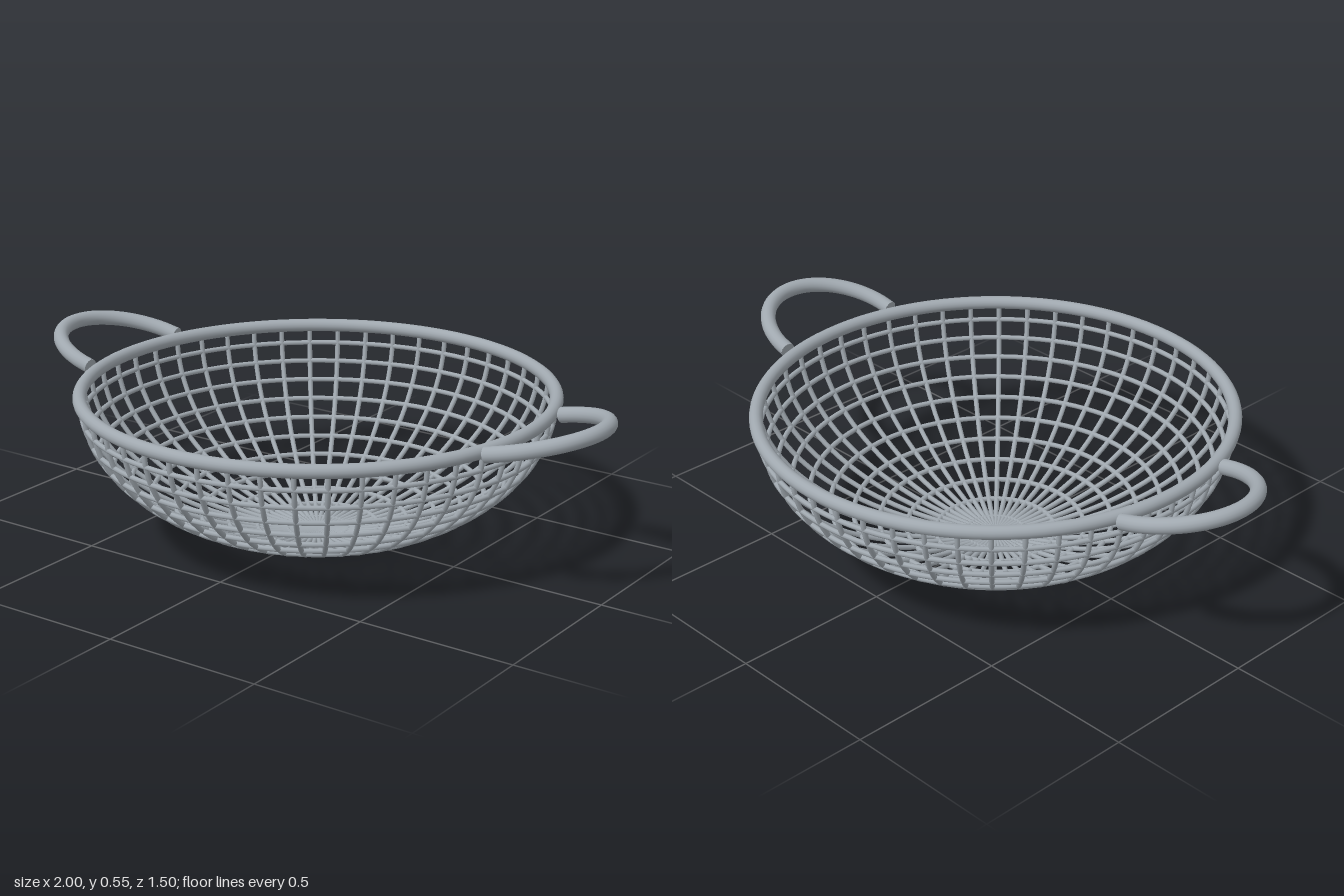
import * as THREE from 'three';

const RADIUS = 0.727; // rim centreline
const RIM_Y = 0.463;
const DEPTH = 0.455;
const WIRE = 0.008;
const STEP = Math.PI / 24; // 7.5 degrees between ribs and between hoops

export function createModel() {
  const steel = new THREE.MeshStandardMaterial({ color: 0xa0a8af });
  steel.name = 'brushed steel';
  const model = new THREE.Group();
  model.name = 'wireBasket';

  const add = (name, geometry, parent = model) => {
    const mesh = new THREE.Mesh(geometry, steel);
    mesh.name = name;
    parent.add(mesh);
    return mesh;
  };

  // Level ring of round wire
  const ring = (name, radius, tube, y, sides) => {
    const geometry = new THREE.TorusGeometry(radius, tube, sides, 96);
    geometry.rotateX(Math.PI / 2);
    add(name, geometry).position.y = y;
  };

  // Thick rim
  ring('rim', RADIUS, 0.021, RIM_Y, 16);

  // Horizontal hoops, evenly spaced by angle down the elliptical bowl
  for (let i = 1; i < 12; i++) {
    const a = i * STEP;
    ring('hoop', RADIUS * Math.cos(a), WIRE, RIM_Y - DEPTH * Math.sin(a), 8);
  }

  // Ribs from the rim to the bottom centre
  const ribPoints = [];
  for (let i = 0; i <= 16; i++) {
    const a = (i / 16) * Math.PI / 2;
    ribPoints.push(new THREE.Vector3(RADIUS * Math.cos(a), RIM_Y - DEPTH * Math.sin(a), 0));
  }
  const ribGeometry = new THREE.TubeGeometry(new THREE.CatmullRomCurve3(ribPoints), 28, WIRE, 8);
  for (let i = 0; i < 48; i++) add('rib', ribGeometry).rotation.y = i * STEP;

  // Upward-tilted loop handles with flat capped ends
  const tube = 0.024, halfWidth = 0.218, startX = 0.728, startY = 0.466;
  const loop = [];
  for (let i = 0; i <= 16; i++) {
    const a = (i / 16 - 0.5) * Math.PI;
    loop.push(new THREE.Vector3(
      startX + 0.248 * Math.cos(a), startY + 0.057 * Math.cos(a), halfWidth * Math.sin(a)));
  }
  const curve = new THREE.CatmullRomCurve3(loop);
  const loopGeometry = new THREE.TubeGeometry(curve, 48, tube, 16);
  const capGeometry = new THREE.CircleGeometry(tube, 16);
  for (const [name, turn] of [['leftHandle', 0], ['rightHandle', Math.PI]]) {
    const handle = new THREE.Group();
    handle.name = name;
    handle.rotation.y = turn;
    add('handleLoop', loopGeometry, handle);
    for (const t of [0, 1]) {
      const cap = add('handleEnd', capGeometry, handle);
      const outward = curve.getTangentAt(t).multiplyScalar(t ? 1 : -1);
      cap.position.copy(curve.getPointAt(t));
      cap.quaternion.setFromUnitVectors(new THREE.Vector3(0, 0, 1), outward);
    }
    model.add(handle);
  }
  return model;
}
